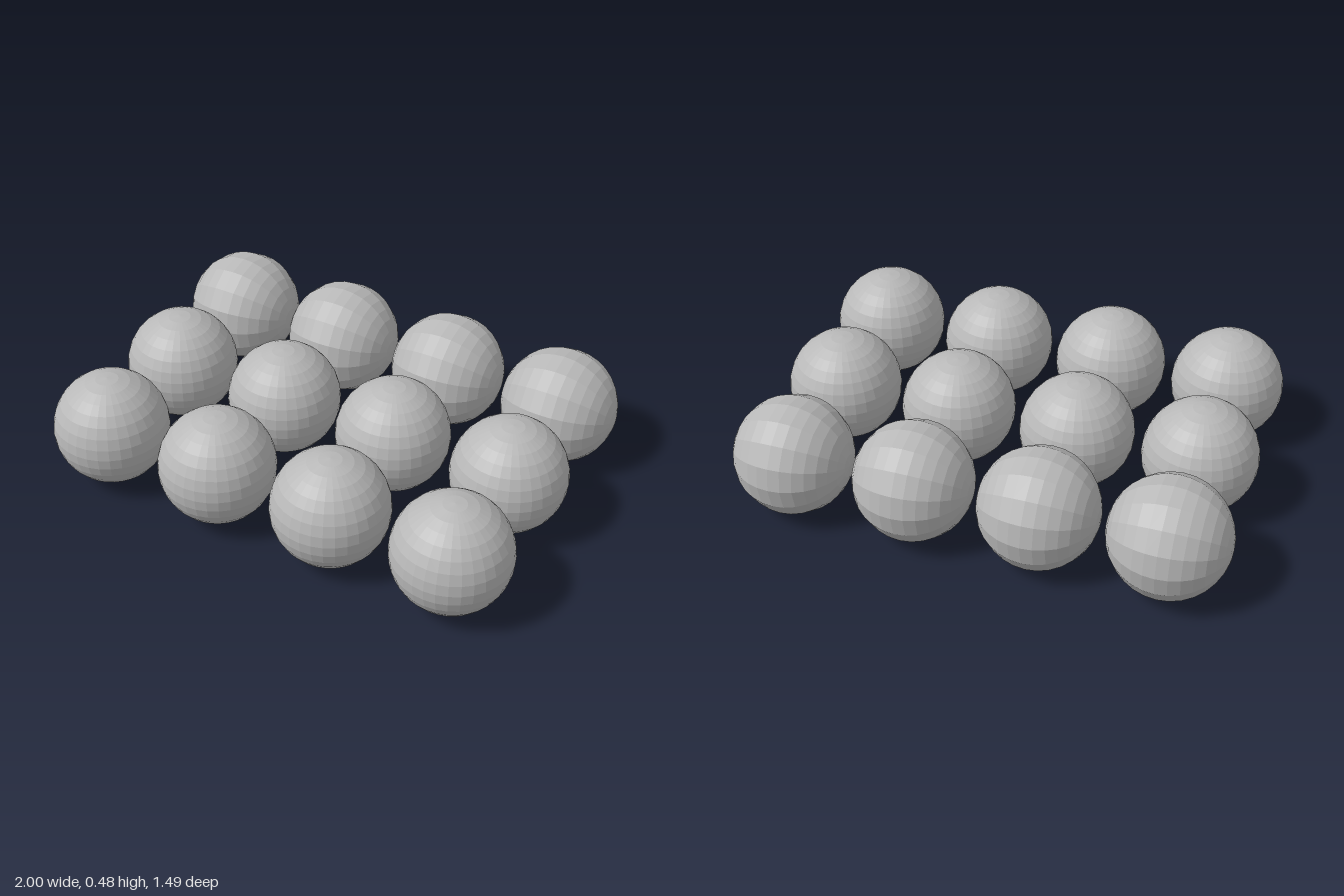
import * as THREE from 'three';

export function createModel() {
  const group = new THREE.Group();
  group.name = 'ballGrid';
  const grey = new THREE.MeshStandardMaterial({ color: 0xb8b8b8, flatShading: true });
  grey.name = 'grey';

  // Fine balls with upright poles
  const fineBall = new THREE.SphereGeometry(0.234, 32, 16);
  // Coarser balls, 16-sided around a sideways axis
  const coarseBall = new THREE.SphereGeometry(0.24, 16, 16).rotateZ(Math.PI / 2);

  const rows = [
    { name: 'frontBall', geometry: fineBall, z: 0.507 },
    { name: 'middleBall', geometry: fineBall, z: 0 },
    { name: 'backBall', geometry: coarseBall, z: -0.504 },
  ];
  for (const row of rows) {
    for (let i = 0; i < 4; i++) {
      const ball = new THREE.Mesh(row.geometry, grey);
      ball.name = row.name + (i + 1);
      ball.position.set((i - 1.5) * 0.507, 0.242, row.z);
      group.add(ball);
    }
  }
  return group;
}
